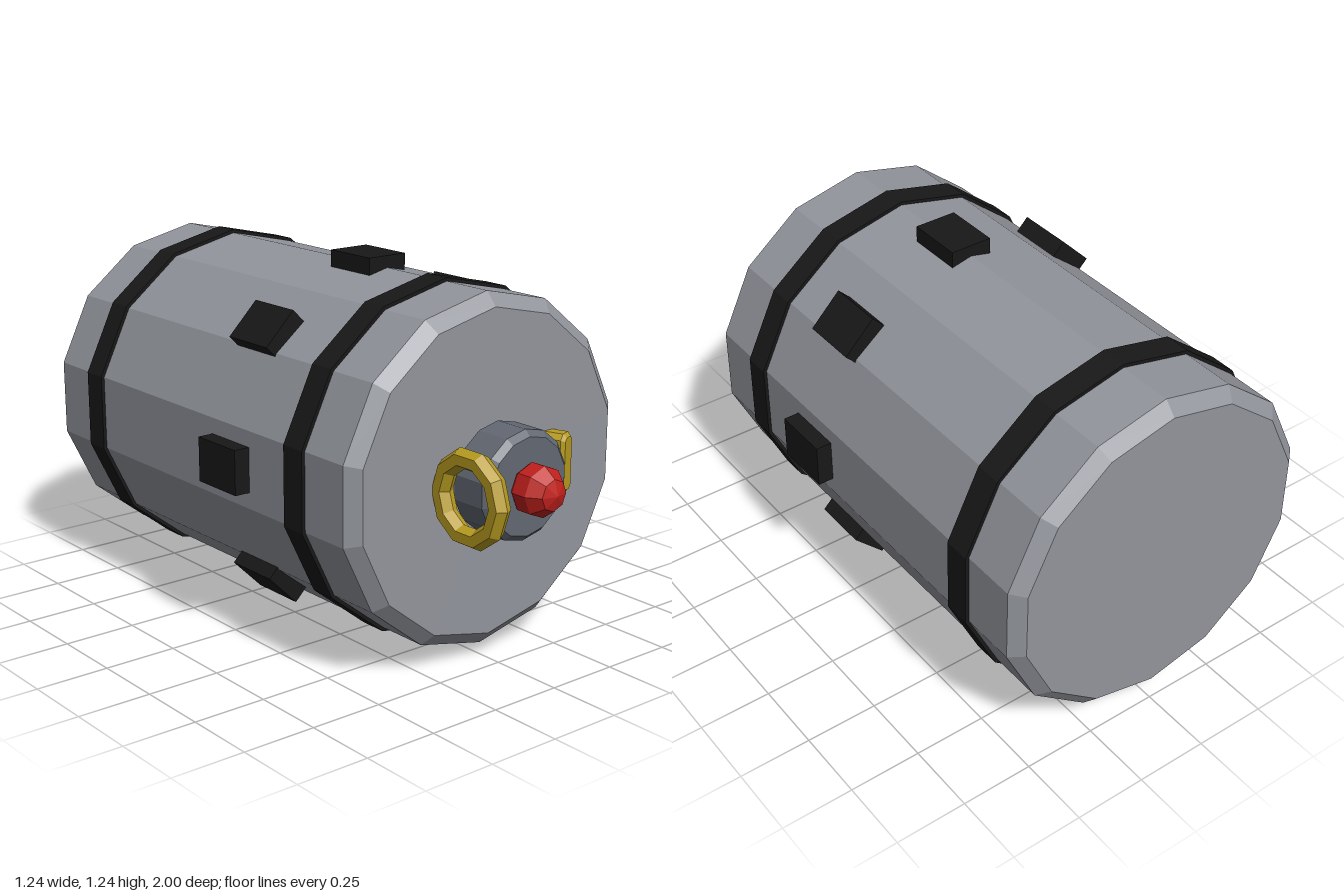
import * as THREE from 'three';

const AXIS_Y = 0.62; // height of the drum's axis
const paint = (color) => new THREE.MeshStandardMaterial({ color, flatShading: true });

export function createModel() {
  const group = new THREE.Group();
  const grey = paint(0x92959c);
  const black = paint(0x181818);
  const slate = paint(0x626872);
  const red = paint(0xc0201c);
  const yellow = paint(0xb89c20);

  const add = (name, geometry, material, x = 0, y = AXIS_Y, z = 0) => {
    const mesh = new THREE.Mesh(geometry, material);
    mesh.name = name;
    mesh.position.set(x, y, z);
    group.add(mesh);
    return mesh;
  };

  // Faceted solid turned about the z axis from [radius, z] pairs, back to front
  const turned = (profile, sides = 14) =>
    new THREE.LatheGeometry(profile.map(([r, z]) => new THREE.Vector2(r, z)), sides).rotateX(Math.PI / 2);

  // Drum with chamfered rims
  add('body', turned([[0, -1], [0.535, -1], [0.58, -0.96], [0.58, 0.66], [0.535, 0.7], [0, 0.7]]), grey);

  // Straps around the drum
  for (const [name, z] of [['frontBand', 0.43], ['rearBand', -0.725]]) {
    add(name, turned([[0.56, -0.046], [0.592, -0.046], [0.592, 0.046], [0.56, 0.046]]), black, 0, AXIS_Y, z);
  }

  // Ring of eight pads
  for (let i = 0; i < 8; i++) {
    const a = (i * Math.PI) / 4;
    const r = 0.57;
    const pad = add('pad', new THREE.BoxGeometry(0.1, 0.15, 0.2), black,
      r * Math.cos(a), AXIS_Y + r * Math.sin(a), 0.087);
    pad.rotation.z = a;
  }

  // Fuse housing and button on the front
  add('fuseHousing', turned([[0, 0.68], [0.16, 0.7], [0.18, 0.72], [0.18, 0.842], [0.16, 0.862], [0, 0.862]]), slate);
  add('button', new THREE.SphereGeometry(0.087, 8, 5).rotateX(Math.PI / 2), red, 0, AXIS_Y, 0.902);

  // Pull ring standing upright beside the housing
  add('pullRing', new THREE.TorusGeometry(0.126, 0.034, 6, 10).rotateY(Math.PI / 2), yellow, -0.219, AXIS_Y, 0.838);

  // Safety lever: a bevelled block, tilted outwards
  const w = 0.037, h = 0.1, c = 0.018, bevel = 0.012;
  const outline = new THREE.Shape([
    [-w + c, -h], [w - c, -h], [w, -h + c], [w, h - c],
    [w - c, h], [-w + c, h], [-w, h - c], [-w, -h + c],
  ].map(([x, y]) => new THREE.Vector2(x, y)));
  const leverGeometry = new THREE.ExtrudeGeometry(outline, {
    depth: 0.12, bevelEnabled: true, bevelThickness: bevel, bevelSize: bevel, bevelOffset: -bevel, bevelSegments: 1,
  });
  leverGeometry.translate(0, 0, -0.06);
  const lever = add('lever', leverGeometry, yellow, 0.245, AXIS_Y, 0.7);
  lever.rotation.y = 0.35;

  return group;
}
